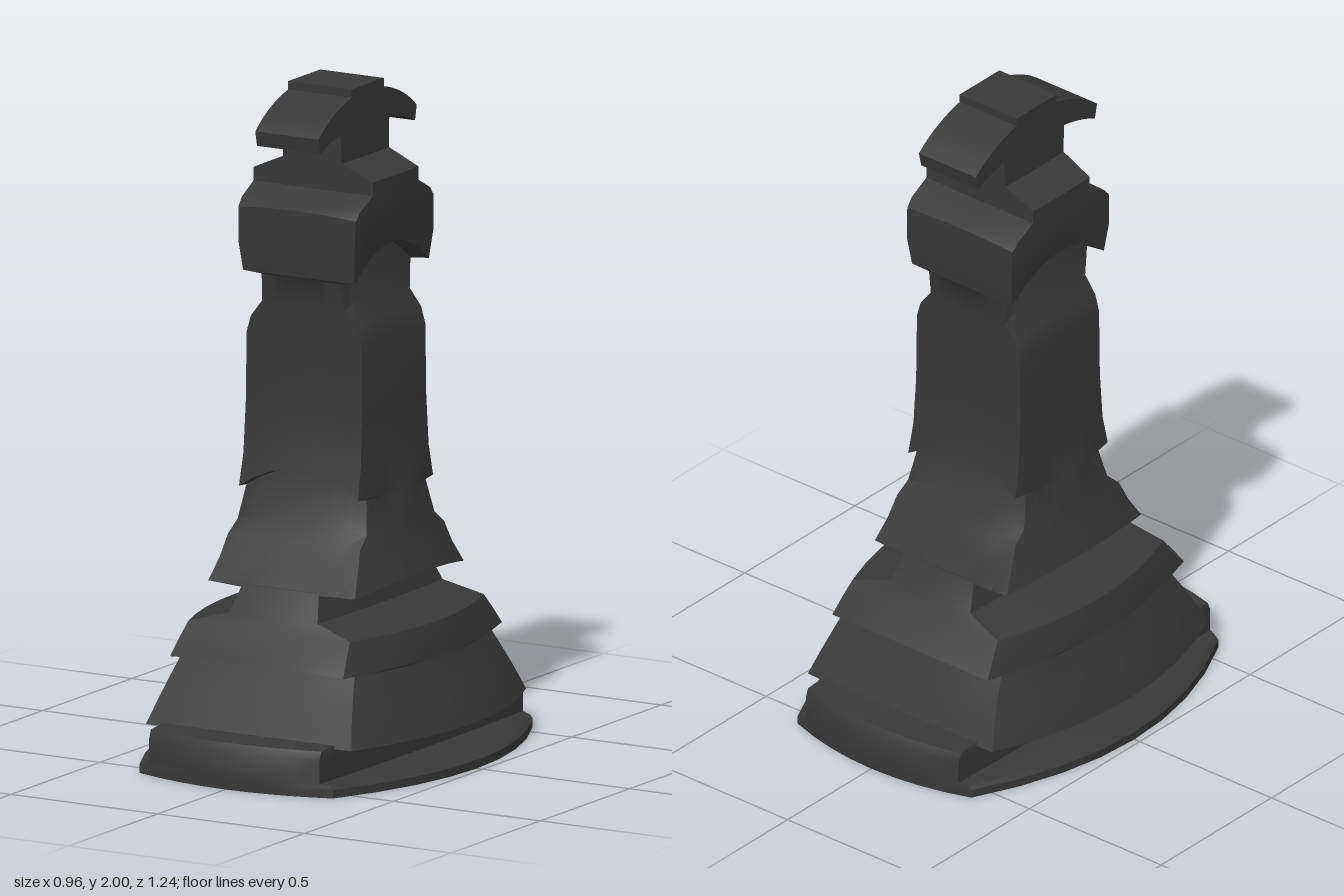
import * as THREE from 'three';
import { toCreasedNormals } from 'three/addons/utils/BufferGeometryUtils.js';

const material = new THREE.MeshStandardMaterial({ color: 0x383838 });
const SEG = 8; // segments along each of the four sides

// One four-sided ring: middle half width X / depth Z, corner xc / zc,
// with the middle of the sides (ax) and of the front and back (az) raised.
function ring([y, X, Z, xc, zc, ax = 0, az = 0]) {
  const pts = [];
  for (let side = 0; side < 4; side++) {
    const sign = side < 2 ? 1 : -1;
    for (let i = 0; i < SEG; i++) {
      const t = -1 + (2 * i) / SEG;
      const bow = 1 - t * t;
      if (side % 2 === 0) pts.push([sign * t * xc, y + az * bow, sign * (zc + (Z - zc) * bow)]);
      else pts.push([sign * (xc + (X - xc) * bow), y + ax * bow, -sign * t * zc]);
    }
  }
  return pts;
}

// Skin a stack of rings and close both ends
function loft(rows) {
  const rings = rows.map(ring);
  const n = SEG * 4;
  const pos = rings.flat(2);
  const idx = [];
  for (let r = 0; r < rings.length - 1; r++) {
    for (let j = 0; j < n; j++) {
      const a = r * n + j, b = r * n + ((j + 1) % n);
      idx.push(a, b, b + n, a, b + n, a + n);
    }
  }
  const last = (rings.length - 1) * n;
  const c = rings.length * n;
  pos.push(0, rows[0][0], 0, 0, rows[rows.length - 1][0], 0);
  for (let j = 0; j < n; j++) {
    const k = (j + 1) % n;
    idx.push(c, k, j, c + 1, last + j, last + k);
  }
  const g = new THREE.BufferGeometry();
  g.setAttribute('position', new THREE.Float32BufferAttribute(pos, 3));
  g.setIndex(idx);
  return toCreasedNormals(g, 0.6);
}

// Rows: y, middle X, middle Z, corner x, corner z, side arch, front arch
const base = [
  [0, 0.48, 0.62, 0.33, 0.56],
  [0.025, 0.48, 0.622, 0.33, 0.56],
  [0.035, 0.46, 0.622, 0.32, 0.56],
  [0.04, 0.3, 0.622, 0.29, 0.57],
  [0.11, 0.3, 0.615, 0.29, 0.57],
  [0.135, 0.3, 0.6, 0.29, 0.56],
  [0.14, 0.3, 0.5, 0.29, 0.48],
];
const skirt = [
  [0.13, 0.46, 0.5, 0.35, 0.49],
  [0.2, 0.435, 0.465, 0.33, 0.455],
  [0.27, 0.395, 0.425, 0.31, 0.415],
  [0.325, 0.37, 0.39, 0.295, 0.38, 0, 0.012],
  [0.33, 0.368, 0.46, 0.295, 0.445, 0, 0.012],
  [0.38, 0.36, 0.42, 0.285, 0.41],
  [0.425, 0.345, 0.385, 0.275, 0.375],
  [0.46, 0.16, 0.36, 0.15, 0.35],
  [0.54, 0.14, 0.315, 0.13, 0.31],
];
const body = [
  [0.53, 0.14, 0.315, 0.13, 0.31, 0.03],
  [0.535, 0.295, 0.312, 0.25, 0.305, 0.03],
  [0.6, 0.275, 0.27, 0.235, 0.265, 0.02],
  [0.665, 0.258, 0.24, 0.225, 0.235],
  [0.7, 0.25, 0.195, 0.22, 0.19, 0, 0.03],
  [0.8, 0.225, 0.17, 0.205, 0.165, 0, 0.07],
  [0.805, 0.223, 0.21, 0.203, 0.21, 0, 0.07],
  [0.9, 0.21, 0.195, 0.2, 0.19, 0, 0.05],
  [1.05, 0.203, 0.183, 0.198, 0.18],
  [1.26, 0.2, 0.182, 0.195, 0.18],
  [1.31, 0.185, 0.183, 0.18, 0.181, 0.02],
  [1.36, 0.14, 0.185, 0.14, 0.183, 0.04],
  [1.445, 0.13, 0.205, 0.13, 0.203, 0.09],
  [1.45, 0.192, 0.21, 0.19, 0.208, 0.09],
  [1.54, 0.2, 0.225, 0.198, 0.222, 0.05],
  [1.64, 0.205, 0.222, 0.2, 0.218, 0, 0.01],
  [1.665, 0.205, 0.2, 0.202, 0.195],
  [1.7, 0.206, 0.13, 0.203, 0.128],
  [1.74, 0.206, 0.13, 0.203, 0.128],
  [1.785, 0.103, 0.134, 0.1, 0.132],
  [1.9, 0.1, 0.14, 0.098, 0.138],
];

// Drooping cap with a brim to the front and back
function capGeometry() {
  const s = new THREE.Shape();
  s.moveTo(-0.09, 2);
  s.lineTo(-0.09, 1.975);
  s.quadraticCurveTo(-0.2, 1.95, -0.275, 1.885);
  s.lineTo(-0.265, 1.84);
  s.quadraticCurveTo(-0.2, 1.87, -0.13, 1.88);
  s.lineTo(0.13, 1.88);
  s.quadraticCurveTo(0.2, 1.87, 0.265, 1.84);
  s.lineTo(0.275, 1.885);
  s.quadraticCurveTo(0.2, 1.95, 0.09, 1.975);
  s.lineTo(0.09, 2);
  const g = new THREE.ExtrudeGeometry(s, { depth: 0.216, bevelEnabled: false, curveSegments: 8 });
  g.translate(0, 0, -0.108).rotateY(Math.PI / 2);
  return toCreasedNormals(g, 0.6);
}

export function createModel() {
  const group = new THREE.Group();
  const add = (name, geometry) => {
    const mesh = new THREE.Mesh(geometry, material);
    mesh.name = name;
    group.add(mesh);
  };
  add('base', loft(base));
  add('lowerSkirt', loft(skirt));
  add('body', loft(body));
  add('cap', capGeometry());
  return group;
}
